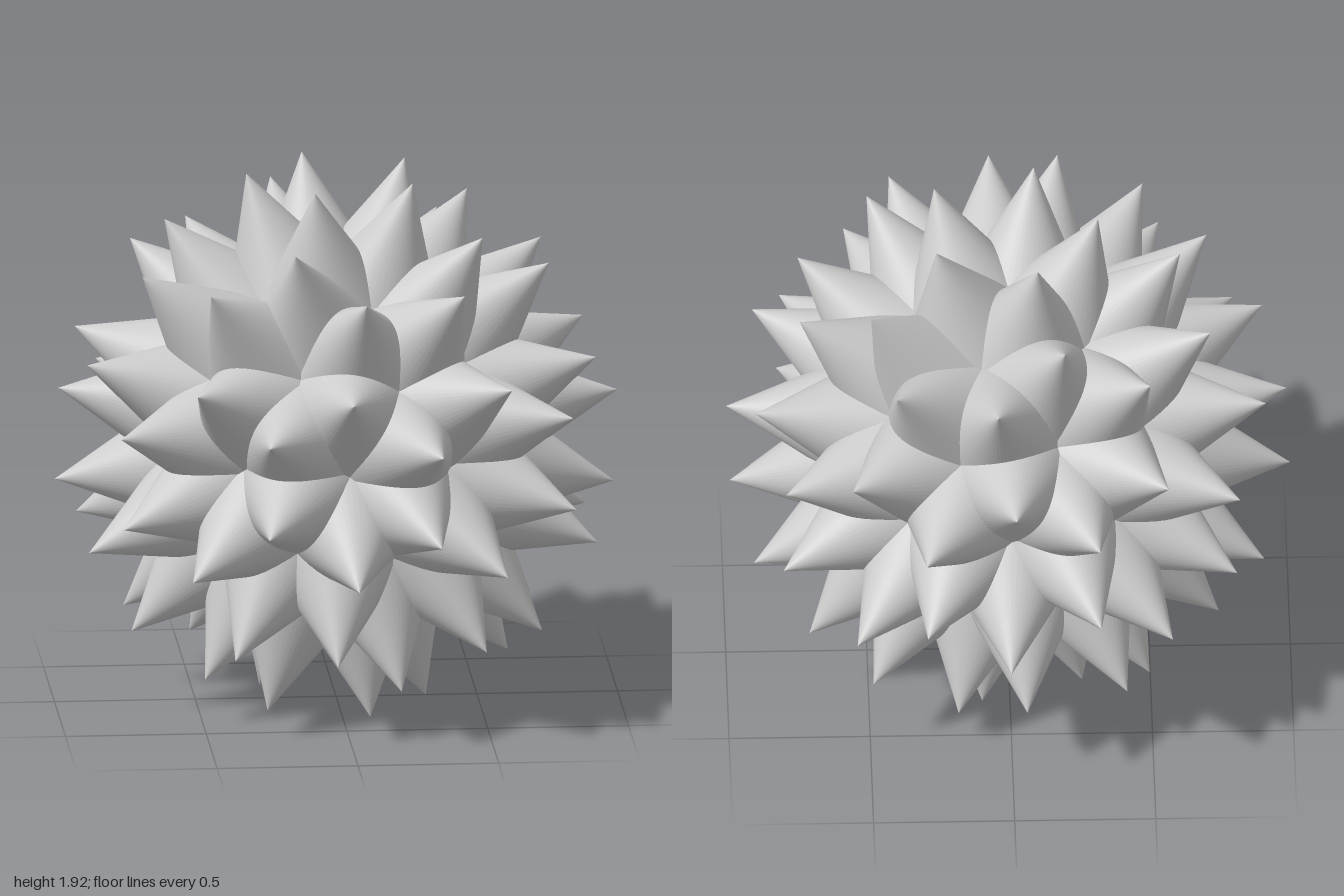
import * as THREE from 'three';

const CORE = 0.55;    // radius of the hidden sphere that carries the spikes
const HEIGHT = 0.491; // spike height
const RADIUS = 0.25;  // spike base radius; neighbouring spikes overlap

export function createModel() {
  const model = new THREE.Group();
  model.name = 'spikyBall';
  const material = new THREE.MeshStandardMaterial({ color: 0xcccccc, side: THREE.DoubleSide });

  // Sphere of 80 triangles, turned so that a five-fold corner points up
  const core = new THREE.IcosahedronGeometry(CORE, 1);
  core.rotateZ(-Math.atan(2 / (1 + Math.sqrt(5))));
  const corners = core.attributes.position;

  // One cone, base at the origin, pointing along +y
  const cone = new THREE.ConeGeometry(RADIUS, HEIGHT, 48, 1, true);
  cone.translate(0, HEIGHT / 2, 0);

  // A spike on the middle of every triangle, along its normal
  const up = new THREE.Vector3(0, 1, 0);
  const face = new THREE.Triangle();
  const normal = new THREE.Vector3();
  const spikes = new THREE.Group();
  spikes.name = 'spikes';
  let lowest = 0;
  for (let i = 0; i < corners.count; i += 3) {
    face.setFromAttributeAndIndices(corners, i, i + 1, i + 2);
    face.getNormal(normal);
    const spike = new THREE.Mesh(cone, material);
    spike.name = 'spike';
    face.getMidpoint(spike.position);
    spike.quaternion.setFromUnitVectors(up, normal);
    spikes.add(spike);
    lowest = Math.min(lowest, spike.position.y + normal.y * HEIGHT);
  }

  // Stand the ball on its lowest tips
  spikes.position.y = -lowest;
  model.add(spikes);
  return model;
}
